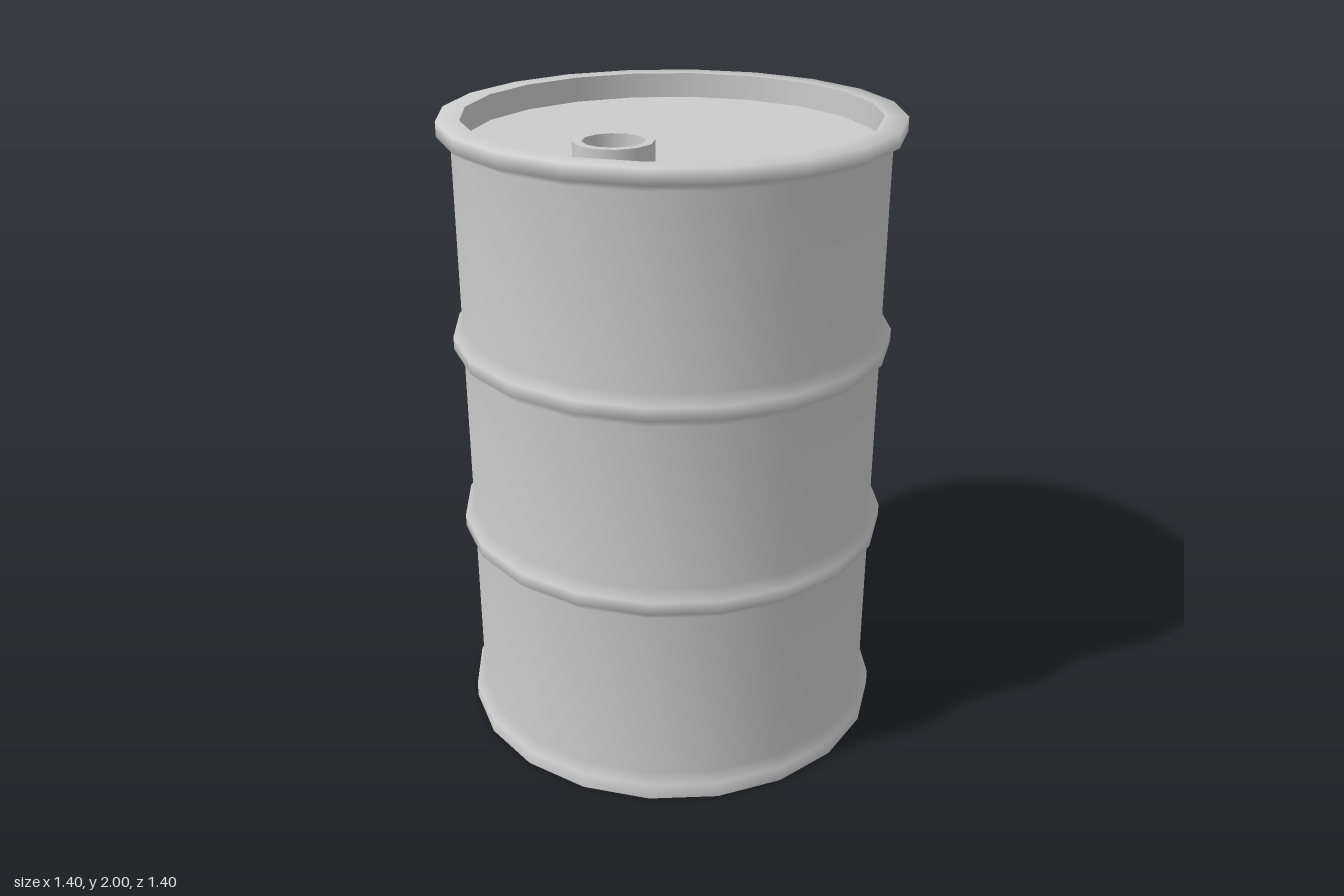
import * as THREE from 'three';

const material = new THREE.MeshStandardMaterial({ color: 0xcccccc });

// Each run of [radius, y] points is smooth; edges between runs stay sharp.
function turned(name, runs, sides) {
  const group = new THREE.Group();
  group.name = name;
  runs.forEach((run, i) => {
    const points = run.map(([r, y]) => new THREE.Vector2(r, y));
    const mesh = new THREE.Mesh(new THREE.LatheGeometry(points, sides), material);
    mesh.name = runs.length > 1 ? `${name}Surface${i + 1}` : name;
    group.add(mesh);
  });
  return group;
}

export function createModel() {
  const model = new THREE.Group();
  model.name = 'drum';
  const sides = 20, body = 0.66, rib = 0.69, rim = 0.7, inner = 0.63, lidY = 1.92;

  // Rolling hoop around the wall, centred on height y
  const hoop = (y) => [[body, y - 0.05], [rib, y - 0.02], [rib, y + 0.02], [body, y + 0.05]];

  // Outer wall with bottom chime, two hoops and the rounded top rim
  model.add(turned('wall', [[
    [rib, 0], [rib, 0.05], [body, 0.075],
    ...hoop(0.693), ...hoop(1.315),
    [body, 1.93], [rim, 1.955], [rim, 2], [inner, 2],
  ]], sides));

  // Inside of the rim and the recessed lid
  model.add(turned('rimInside', [[[inner, 2], [inner, lidY]]], sides));
  model.add(turned('lid', [[[inner, lidY], [0, lidY]]], sides));

  // Flat underside
  model.add(turned('base', [[[0, 0], [rib, 0]]], sides));

  // Filler neck: outer wall, flat lip, bore and floor
  const top = 1.995, floor = 1.955;
  const neck = turned('fillerNeck', [
    [[0.115, lidY], [0.115, top]],
    [[0.115, top], [0.088, top]],
    [[0.088, top], [0.088, floor]],
    [[0.088, floor], [0, floor]],
  ], 12);
  neck.position.z = 0.395;
  model.add(neck);

  return model;
}
